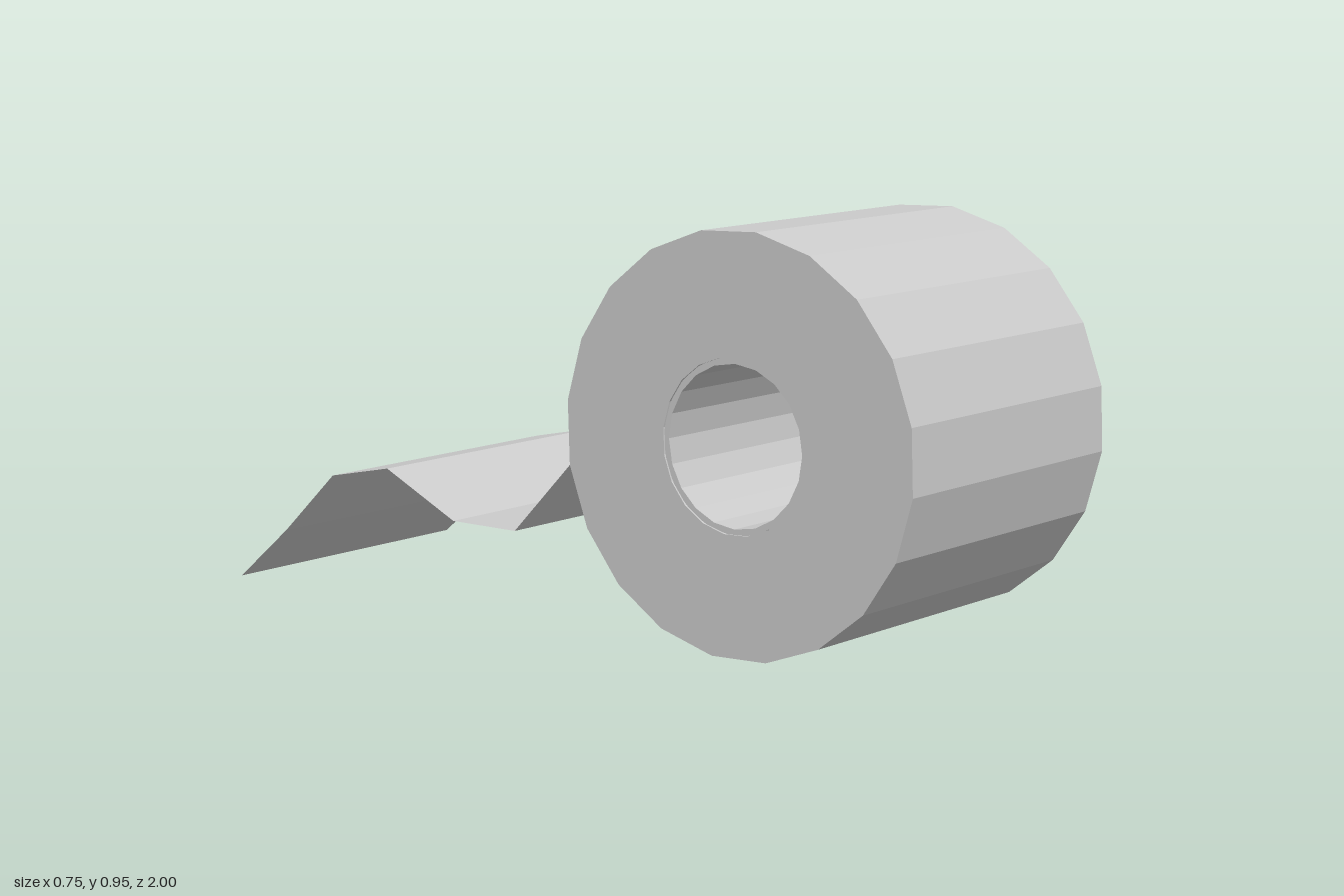
import * as THREE from 'three';

const SIDES = 20;
const CENTER = { y: 0.486, z: 0.53 };
const X_MIN = -0.375, X_MAX = 0.371;

const material = new THREE.MeshStandardMaterial({ color: 0xcccccc, flatShading: true, side: THREE.DoubleSide });

// Corners of a regular polygon, turned by the given angle in degrees
function polygon(radius, turn) {
  return Array.from({ length: SIDES }, (_, i) => {
    const a = THREE.MathUtils.degToRad(turn) + (i / SIDES) * Math.PI * 2;
    return new THREE.Vector2(Math.cos(a) * radius, Math.sin(a) * radius);
  });
}

// Faceted ring lying along x, between x0 and x1
function ring(name, outer, inner, turn, x0, x1) {
  const shape = new THREE.Shape(polygon(outer, turn));
  shape.holes.push(new THREE.Path(polygon(inner, turn)));
  const geometry = new THREE.ExtrudeGeometry(shape, { depth: x1 - x0, bevelEnabled: false });
  geometry.rotateY(-Math.PI / 2);
  geometry.translate(x1, CENTER.y, CENTER.z);
  const mesh = new THREE.Mesh(geometry, material);
  mesh.name = name;
  return mesh;
}

// Loose sheet: a plane whose rows follow a (z, y) profile
function looseSheet() {
  const profile = [
    [0.067, 0.396], [-0.1, 0.224], [-0.29, 0.224], [-0.5, 0.324],
    [-0.68, 0.287], [-0.84, 0.135], [-1, 0],
  ];
  const geometry = new THREE.PlaneGeometry(X_MAX - X_MIN, 1, 1, profile.length - 1);
  const pos = geometry.attributes.position;
  for (let i = 0; i < pos.count; i++) {
    const [z, y] = profile[Math.floor(i / 2)];
    pos.setXYZ(i, i % 2 ? X_MIN : X_MAX, y, z);
  }
  geometry.computeVertexNormals();
  const mesh = new THREE.Mesh(geometry, material);
  mesh.name = 'looseSheet';
  return mesh;
}

export function createModel() {
  const group = new THREE.Group();
  group.name = 'paperRoll';
  group.add(ring('woundPaper', 0.472, 0.195, 11, X_MIN, X_MAX));
  // Cardboard tube, shifted slightly out of the wound paper
  group.add(ring('core', 0.196, 0.181, 0, X_MIN + 0.004, X_MAX + 0.004));
  group.add(looseSheet());
  return group;
}
